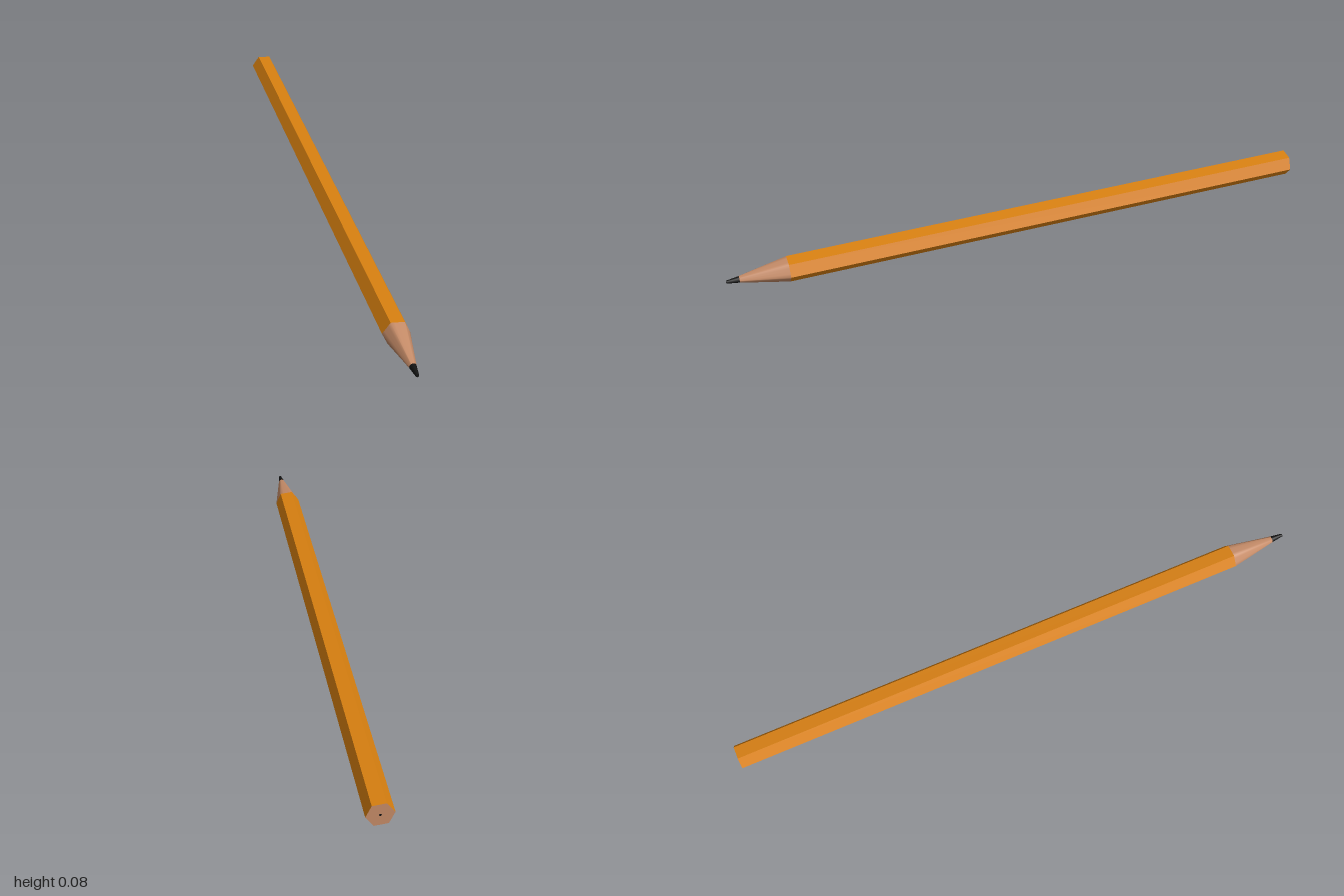
import * as THREE from 'three';

const R = 0.043;               // hexagon corner radius
const ROLL = THREE.MathUtils.degToRad(24);

const material = (name, color) => {
  const m = new THREE.MeshStandardMaterial({ color });
  m.name = name;
  return m;
};

// Tapered section running along z from z0 to z1
function section(r0, r1, z0, z1, sides, open) {
  return new THREE.CylinderGeometry(r1, r0, z1 - z0, sides, 1, open)
    .rotateX(Math.PI / 2)
    .rotateZ(ROLL)
    .translate(0, 0, (z0 + z1) / 2);
}

// Sharpened wood: hexagonal at the barrel, round at the lead
function sharpenedCone(z0, z1, r1) {
  const g = new THREE.CylinderGeometry(r1, R, z1 - z0, 24, 1, true);
  const p = g.attributes.position;
  const step = Math.PI / 3;
  for (let i = 0; i < p.count; i++) {
    if (p.getY(i) > 0) continue;
    const a = Math.atan2(p.getX(i), p.getZ(i)) + Math.PI * 2 + 1e-6;
    const k = Math.cos(step / 2) / Math.cos((a % step) - step / 2);
    p.setX(i, p.getX(i) * k);
    p.setZ(i, p.getZ(i) * k);
  }
  g.computeVertexNormals();
  // Blend the normals across the seam
  const n = g.attributes.normal, v = new THREE.Vector3(), w = new THREE.Vector3();
  for (const row of [0, 25]) {
    v.fromBufferAttribute(n, row).add(w.fromBufferAttribute(n, row + 24)).normalize();
    for (const i of [row, row + 24]) n.setXYZ(i, v.x, v.y, v.z);
  }
  return g.rotateX(Math.PI / 2).rotateZ(ROLL).translate(0, 0, (z0 + z1) / 2);
}

export function createModel() {
  const paint = material('orange paint', 0xd88010);
  const wood = material('bare wood', 0xc68c68);
  const lead = material('graphite', 0x111111);

  const pencil = new THREE.Group();
  pencil.name = 'pencil';
  const add = (name, geometry, mat) => {
    const mesh = new THREE.Mesh(geometry, mat);
    mesh.name = name;
    pencil.add(mesh);
  };

  // Painted hexagonal barrel with crisp facets
  const barrel = section(R, R, -1, 0.8, 6, true).toNonIndexed();
  barrel.computeVertexNormals();
  add('barrel', barrel, paint);

  // Sharpened end
  add('sharpenedWood', sharpenedCone(0.8, 0.958, 0.011), wood);
  add('leadTip', section(0.011, 0.005, 0.958, 1, 12, false), lead);

  // Flat rear end with the lead core showing
  const rear = new THREE.CircleGeometry(R, 6).rotateZ(Math.PI / 6 - ROLL);
  add('rearWood', rear.rotateY(Math.PI).translate(0, 0, -1), wood);
  add('rearLead', new THREE.CircleGeometry(0.004, 12).rotateY(Math.PI).translate(0, 0, -1.0008), lead);

  // Lies on the ground with the tip raised very slightly
  pencil.rotation.x = -0.0035;
  pencil.position.y = 0.0428;

  const model = new THREE.Group();
  model.name = 'model';
  model.add(pencil);
  return model;
}
